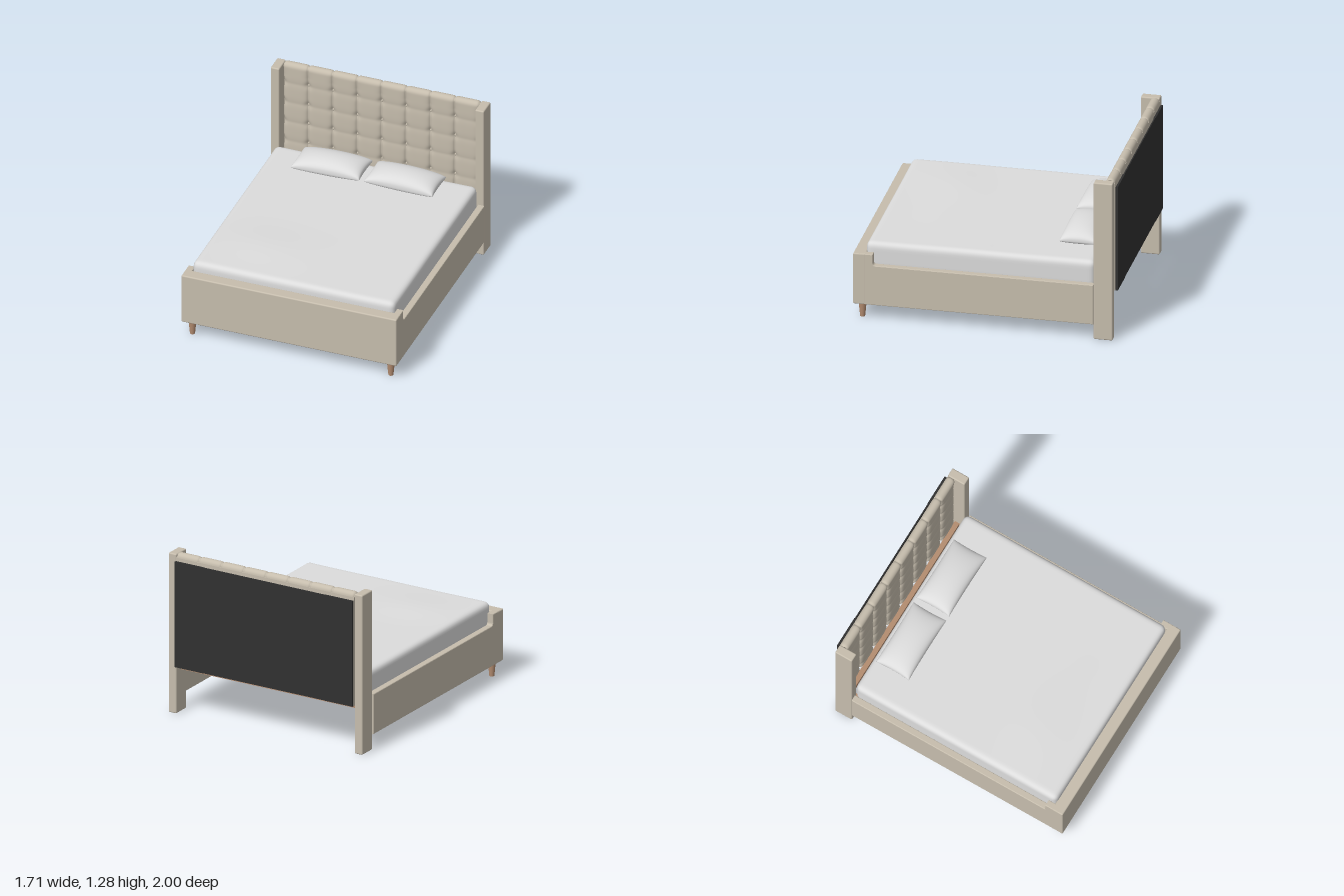
import * as THREE from 'three';
import { mergeVertices } from 'three/addons/utils/BufferGeometryUtils.js';
import { RoundedBoxGeometry } from 'three/addons/geometries/RoundedBoxGeometry.js';

const material = (name, color, side = THREE.FrontSide) => {
  const m = new THREE.MeshStandardMaterial({ color, side });
  m.name = name;
  return m;
};

// Merge coincident vertices so the deformed surface shades smoothly
function smooth(geometry) {
  geometry.deleteAttribute('uv');
  geometry.deleteAttribute('normal');
  const merged = mergeVertices(geometry, 1e-5);
  merged.computeVertexNormals();
  return merged;
}

function deform(geometry, rule) {
  const p = geometry.attributes.position;
  const v = new THREE.Vector3();
  for (let i = 0; i < p.count; i++) {
    rule(v.fromBufferAttribute(p, i));
    p.setXYZ(i, v.x, v.y, v.z);
  }
  return smooth(geometry);
}

// Soft block with rounded edges and a gently rumpled top
function mattressGeometry(w, h, d, r) {
  const half = new THREE.Vector3(w / 2, h / 2, d / 2);
  return deform(new THREE.BoxGeometry(2, 2, 2, 48, 16, 48), (v) => {
    for (const k of ['x', 'y', 'z']) v[k] = Math.sin((v[k] * Math.PI) / 2) * half[k];
    const limit = half.clone().subScalar(r);
    const inner = v.clone().clamp(limit.clone().negate(), limit);
    v.sub(inner).setLength(r).add(inner);
    if (v.y > 0) {
      const bump = 0.013 * Math.exp(-((v.x + 0.4) ** 2) / 0.1 - (v.z - 0.45) ** 2 / 0.06);
      const ripple = 0.002 * Math.sin(5 * v.x + 3 * v.z) * Math.sin(4 * v.z - 2 * v.x);
      v.y += (bump + ripple) * Math.min(1, v.y / (h / 2));
    }
  });
}

// Pillow: thin seam around the rim, full centre, pointed corners
function pillowGeometry(w, d, up, down) {
  return deform(new THREE.BoxGeometry(2, 2, 2, 28, 1, 20), (v) => {
    const a = Math.sin((v.x * Math.PI) / 2), b = Math.sin((v.z * Math.PI) / 2);
    const puff = Math.pow(Math.max(0, (1 - a * a) * (1 - b * b)), 0.37);
    v.y = v.y > 0 ? up * puff : -down * puff;
    v.x = a * (w / 2) * (1 - 0.03 * (1 - b * b));
    v.z = b * (d / 2) * (1 - 0.03 * (1 - a * a));
  });
}

const HEAD = { half: 0.778, bottom: 0.38, top: 1.28, r: 0.036, z: -0.942, column: 1.556 / 8, row: 0.17 };

// Depth of the upholstery creases: thin seams, with soft dimples on the front
function tuftDepth(x, y) {
  const dx = Math.abs(x - Math.round(x / HEAD.column) * HEAD.column);
  const rowIndex = Math.max(1, Math.round((HEAD.top - y) / HEAD.row));
  const dy = Math.abs(HEAD.top - y - rowIndex * HEAD.row);
  const cx = 1 - dx / (HEAD.column / 2);
  const cy = Math.max(0, 1 - dy / (HEAD.row / 2));
  const front = THREE.MathUtils.clamp((HEAD.top - 0.02 - y) / 0.08, 0, 1);
  const dimple = 0.01 * Math.exp(-(dx * dx + dy * dy) / 0.0006);
  return 0.011 * cx ** 14 + front * (0.012 * cx ** 4 + 0.004 * cy ** 3 + dimple);
}

// Padded sheet running up the front, over the rounded top and to the back
function tuftedGeometry() {
  const { half, bottom, top, r, z } = HEAD;
  const straight = top - r - bottom;
  const length = straight + Math.PI * r;
  return deform(new THREE.PlaneGeometry(2 * half, 1, 240, 100), (v) => {
    const s = (v.y + 0.5) * length;
    const angle = Math.max(0, (s - straight) / r);
    const y = bottom + Math.min(s, straight);
    const radius = r - tuftDepth(v.x, y + r * Math.sin(Math.min(angle, Math.PI / 2)));
    v.y = y + Math.sin(angle) * radius;
    v.z = z + Math.cos(angle) * radius;
  });
}

// Side rail outline with its raised foot end, drawn as (z, y)
function railGeometry(thickness, bevel) {
  const shape = new THREE.Shape();
  shape.moveTo(-0.828, 0.12).lineTo(0.96, 0.12).lineTo(0.96, 0.53).lineTo(0.85, 0.53);
  shape.lineTo(0.85, 0.462).quadraticCurveTo(0.85, 0.44, 0.828, 0.44).lineTo(-0.828, 0.44);
  const geometry = new THREE.ExtrudeGeometry(shape, {
    depth: thickness - 2 * bevel, bevelEnabled: true, bevelSize: bevel, bevelThickness: bevel,
    bevelOffset: -bevel, bevelSegments: 2,
  });
  return geometry.translate(0, 0, bevel - thickness / 2).rotateY(-Math.PI / 2);
}

export function createModel() {
  const group = new THREE.Group();
  group.name = 'upholsteredBed';
  const fabric = material('beige fabric', 0xc6bdad, THREE.DoubleSide);
  const cotton = material('pale grey cotton', 0xdcdcdc);
  const wood = material('brown wood', 0xb38c70);
  const black = material('black backing', 0x303030);

  const add = (name, geometry, mat, x = 0, y = 0, z = 0) => {
    const mesh = new THREE.Mesh(geometry, mat);
    mesh.name = name;
    mesh.position.set(x, y, z);
    group.add(mesh);
    return mesh;
  };
  // Block given by its minimum and maximum corners
  const block = (name, mat, x0, x1, y0, y1, z0, z1, r = 0) => {
    const size = [x1 - x0, y1 - y0, z1 - z0];
    const g = r ? new RoundedBoxGeometry(...size, 3, r) : new THREE.BoxGeometry(...size);
    return add(name, g, mat, (x0 + x1) / 2, (y0 + y1) / 2, (z0 + z1) / 2);
  };

  // Footboard, side rails, posts, legs, ledges and pillows
  block('footboard', fabric, -0.857, 0.857, 0.12, 0.53, 0.905, 1, 0.01);
  const rail = railGeometry(0.052, 0.006);
  const legGeometry = new THREE.CylinderGeometry(0.031, 0.019, 0.125, 24);
  const pillow = pillowGeometry(0.545, 0.285, 0.083, 0.047);
  for (const s of [-1, 1]) {
    const side = s > 0 ? 'left' : 'right';
    const span = (a, b) => (s > 0 ? [a, b] : [-b, -a]);
    add(side + 'SideRail', rail, fabric, s * 0.83, 0, 0);
    block(side + 'HeadPost', fabric, ...span(0.78, 0.85), 0, 1.27, -0.975, -0.83, 0.01);
    add(side + 'FrontLeg', legGeometry, wood, s * 0.79, 0.0625, 0.94);
    block(side + 'SlatLedge', wood, ...span(0.765, 0.805), 0.335, 0.37, -0.91, 0.91);
    block(side + 'BackingStrip', black, ...span(0.53, 0.778), 0.38, 1.22, -1, -0.984);
    add(side + 'Pillow', pillow, cotton, s * 0.292, 0.651, -0.65).rotation.z = -s * 0.02;
  }

  // Mattress
  add('mattress', mattressGeometry(1.61, 0.217, 1.742, 0.045), cotton, 0, 0.4965, 0.041);

  // Slatted base with end holders
  block('headCrossbar', wood, -0.77, 0.77, 0.335, 0.385, -0.91, -0.87);
  const slats = 14;
  for (let i = 0; i < slats; i++) {
    const z = -0.77 + (i * 1.62) / (slats - 1);
    block('slat', wood, -0.775, 0.775, 0.37, 0.387, z - 0.034, z + 0.034);
    for (const s of [-1, 1]) {
      add('slatHolder', new THREE.BoxGeometry(0.025, 0.02, 0.035), wood, s * 0.755, 0.365, z);
    }
  }

  // Tufted headboard with buttons, core and backing
  add('tuftedHeadboard', tuftedGeometry(), fabric);
  block('headboardCore', fabric, -0.781, 0.781, 0.38, 1.245, -0.977, -0.945);
  const buttonGeometry = new THREE.SphereGeometry(0.012, 14, 10).scale(1, 1, 0.6);
  for (let c = -3; c <= 3; c++) {
    for (let r = 1; r <= 5; r++) {
      add('button', buttonGeometry, fabric, c * HEAD.column, HEAD.top - r * HEAD.row, -0.938);
    }
  }
  block('backingPanel', black, -0.535, 0.535, 0.38, 1.22, -0.997, -0.988);
  return group;
}
